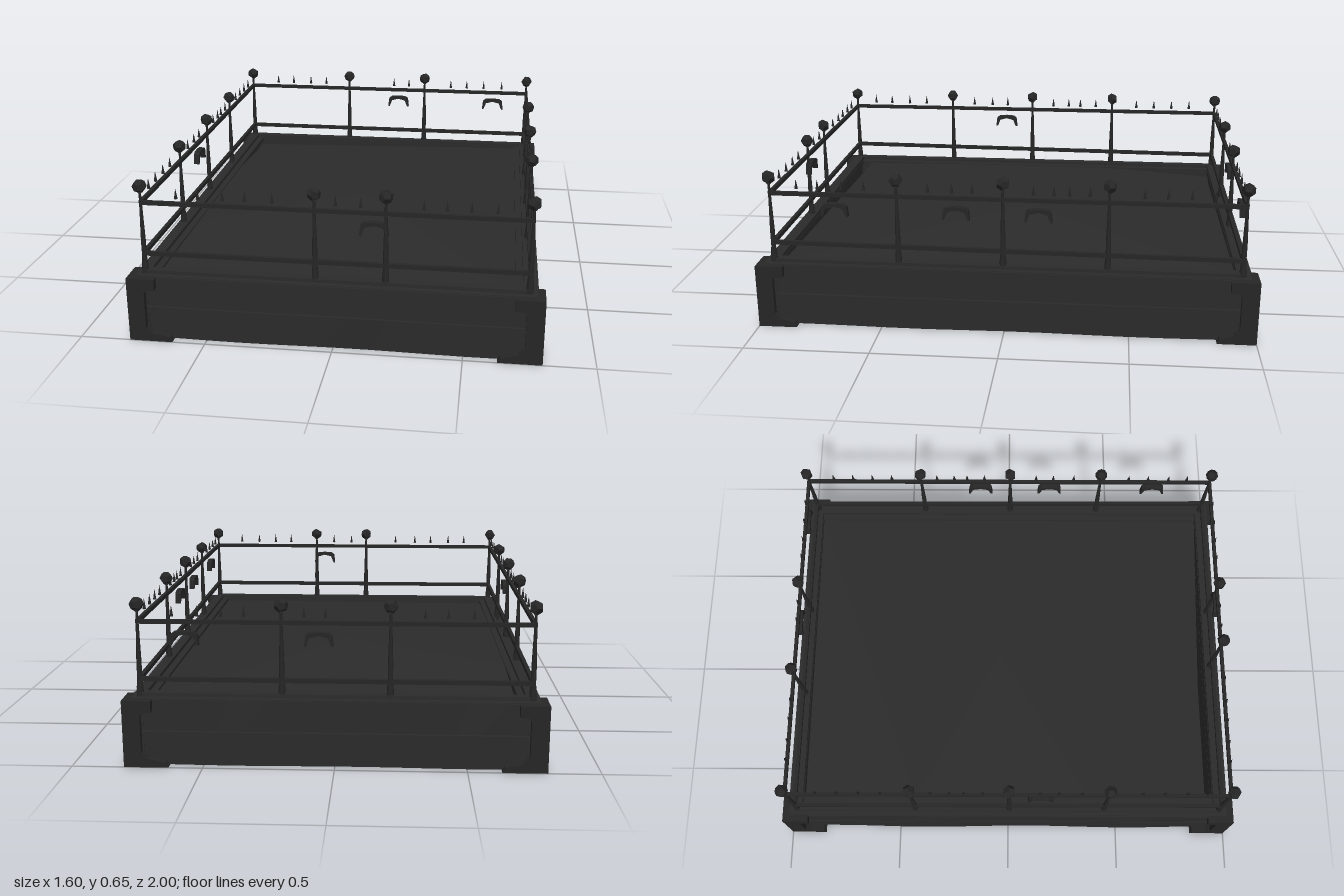
import * as THREE from 'three';

const wood = new THREE.MeshStandardMaterial({ name: 'dark timber', color: 0x2b2b2b });
const iron = new THREE.MeshStandardMaterial({ name: 'dark iron', color: 0x262626 });

const RX = 0.74, RZ = 0.935; // railing half extents

function add(parent, name, geo, mat, x = 0, y = 0, z = 0, ry = 0) {
  const m = new THREE.Mesh(geo, mat);
  m.name = name;
  m.position.set(x, y, z);
  m.rotation.y = ry;
  parent.add(m);
  return m;
}

function shapeFrom(points) {
  return new THREE.Shape(points.map(([x, y]) => new THREE.Vector2(x, y)));
}

// Plank along x whose lower outer edge wanders slightly
function plankGeometry(length, height, wave) {
  const g = new THREE.BoxGeometry(length, height, 0.05, 12, 1, 1);
  const p = g.attributes.position;
  for (let i = 0; i < p.count; i++) {
    if (p.getZ(i) > 0 && p.getY(i) < 0) p.setZ(i, p.getZ(i) - wave * (1 + Math.sin(p.getX(i) * 7 + 1)));
  }
  g.computeVertexNormals();
  return g;
}

// C-shaped corner plate: upright with a short top flange and a longer foot
function bracketGeometry(foot) {
  const s = shapeFrom([[0, 0], [foot, 0], [foot - 0.01, 0.02], [0.09, 0.035], [0.068, 0.055], [0.068, 0.2],
    [0.075, 0.213], [0.11, 0.217], [0.112, 0.262], [0, 0.262]]);
  return new THREE.ExtrudeGeometry(s, { depth: 0.06, bevelEnabled: false });
}

// Small hanging arch with pointed ends
function archGeometry() {
  const s = shapeFrom([[-0.055, -0.03], [-0.047, -0.03], [-0.034, 0.003], [0, 0.012], [0.034, 0.003],
    [0.047, -0.03], [0.055, -0.03], [0.05, 0.012], [0.036, 0.022], [0, 0.025], [-0.036, 0.022], [-0.05, 0.012]]);
  return new THREE.ExtrudeGeometry(s, { depth: 0.024, bevelEnabled: false }).translate(0, 0, -0.012);
}

// Slightly crowned deck made of a few broad facets
function deckGeometry() {
  const P = [[-0.69, 0.225, -0.91], [0.69, 0.255, -0.91], [-0.69, 0.26, -0.41], [-0.01, 0.276, -0.04],
    [-0.69, 0.26, 0.36], [0.69, 0.25, 0.91], [-0.69, 0.255, 0.86]];
  const T = [0, 2, 1, 2, 3, 1, 2, 4, 3, 3, 5, 1, 4, 5, 3, 4, 6, 5];
  const g = new THREE.BufferGeometry();
  g.setAttribute('position', new THREE.Float32BufferAttribute(T.flatMap((i) => P[i]), 3));
  g.computeVertexNormals();
  return g;
}

export function createModel() {
  const group = new THREE.Group();
  group.name = 'railedPlatform';

  // Base: underside, deck, and two planks per side with a narrow gap
  add(group, 'underside', new THREE.BoxGeometry(1.52, 0.01, 1.92), wood, 0, 0.009);
  add(group, 'deck', deckGeometry(), wood);

  // Each side: turn, plank and rail offsets, half lengths, and lower rail height and slope
  const sides = [
    { name: 'front', ry: 0, out: 0.975, half: 0.775, rail: RZ, run: RX, inner: 0.91, foot: 0.17, low: 0.346, tilt: 0 },
    { name: 'back', ry: Math.PI, out: 0.975, half: 0.775, rail: RZ, run: RX, inner: 0.91, foot: 0.17, low: 0.331, tilt: 0 },
    { name: 'left', ry: Math.PI / 2, out: 0.775, half: 0.975, rail: RX, run: RZ, inner: 0.69, foot: 0.155, low: 0.339, tilt: -0.008 },
    { name: 'right', ry: -Math.PI / 2, out: 0.775, half: 0.975, rail: RX, run: RZ, inner: 0.69, foot: 0.155, low: 0.339, tilt: 0.008 },
  ];
  for (const s of sides) {
    const side = new THREE.Group();
    side.name = s.name + 'Side';
    side.rotation.y = s.ry;
    group.add(side);
    add(side, 'lowerPlank', plankGeometry(s.half * 2, 0.132, 0.004), wood, 0, 0.069, s.out - 0.025);
    add(side, 'upperPlank', plankGeometry(s.half * 2, 0.123, 0.002), wood, 0, 0.2, s.out - 0.025);
    const w = s.out - 0.005 - s.inner;
    add(side, 'rim', new THREE.BoxGeometry(s.half * 2 - 0.01, 0.022, w), wood, 0, 0.254, s.inner + w / 2);
    add(side, 'curb', new THREE.BoxGeometry(s.run * 2 - 0.02, 0.022, 0.036), wood, 0, 0.269, s.rail - 0.005);

    // Corner plates, mirrored by turning one about
    const bracket = bracketGeometry(s.foot);
    const ox = s.half + 0.025, oz = s.out + 0.025;
    add(side, 'cornerPlate', bracket, iron, -ox, 0, oz - 0.06);
    add(side, 'cornerPlate', bracket, iron, ox, 0, oz, Math.PI);

    // Rails
    add(side, 'topRail', new THREE.BoxGeometry(s.run * 2, 0.016, 0.014), iron, 0, 0.554, s.rail);
    const low = add(side, 'lowerRail', new THREE.BoxGeometry(s.run * 2, 0.017, 0.015), iron, 0, s.low, s.rail);
    low.rotation.z = s.tilt;
  }

  // Posts with ball finials
  const post = new THREE.LatheGeometry([[0.014, 0.26], [0.013, 0.3], [0.01, 0.33], [0.01, 0.4],
    [0.007, 0.5], [0.005, 0.59], [0.012, 0.598], [0, 0.604]].map(([x, y]) => new THREE.Vector2(x, y)), 8);
  const ball = new THREE.DodecahedronGeometry(0.028);
  const posts = [
    [-RX, RZ], [RX, RZ], [-RX, -RZ], [RX, -RZ],
    [-0.07, RZ], [0.2, RZ], [-0.208, -RZ], [0.2, -RZ],
  ];
  for (const x of [-RX, RX]) for (const z of [0.425, 0.005, -0.41]) posts.push([x, z]);
  posts.forEach(([x, z], i) => {
    add(group, 'railPost', post, iron, x, 0, z);
    add(group, 'ballFinial', ball, iron, x, 0.62, z, i);
  });

  // Spikes above the top rail
  const spike = new THREE.ConeGeometry(0.007, 0.042, 6);
  const rightRun = [0.34, 0.425, 0.515, 0.61];
  const spikes = [
    ...[-0.6, -0.515, -0.42, -0.335, -0.23, 0.01, 0.105, ...rightRun].map((x) => [x, RZ]),
    ...[-0.6, -0.515, -0.42, -0.335, 0.035, 0.115, ...rightRun].map((x) => [x, -RZ]),
  ];
  for (const x of [-RX, RX]) {
    const shift = x < 0 ? 0.005 : -0.005;
    for (const z of [0.83, 0.745, 0.65, 0.56, 0.305, 0.21, 0.13, -0.11, -0.19, -0.25, -0.33,
      -0.54, -0.63, -0.72, -0.81]) spikes.push([x, z + shift]);
  }
  for (const [x, z] of spikes) add(group, 'spike', spike, iron, x, 0.596, z);

  // Arches between the rails
  const arch = archGeometry();
  const H = Math.PI / 2;
  for (const [x, z, ry] of [[0.155, RZ, 0], [0.06, -RZ, 0], [0.565, -RZ, 0],
    [RX, 0.675, H], [RX, 0.19, H], [RX, -0.135, H], [-RX, 0.14, H]]) {
    add(group, 'hangingArch', arch, iron, x, 0.495, z, ry);
  }
  return group;
}
